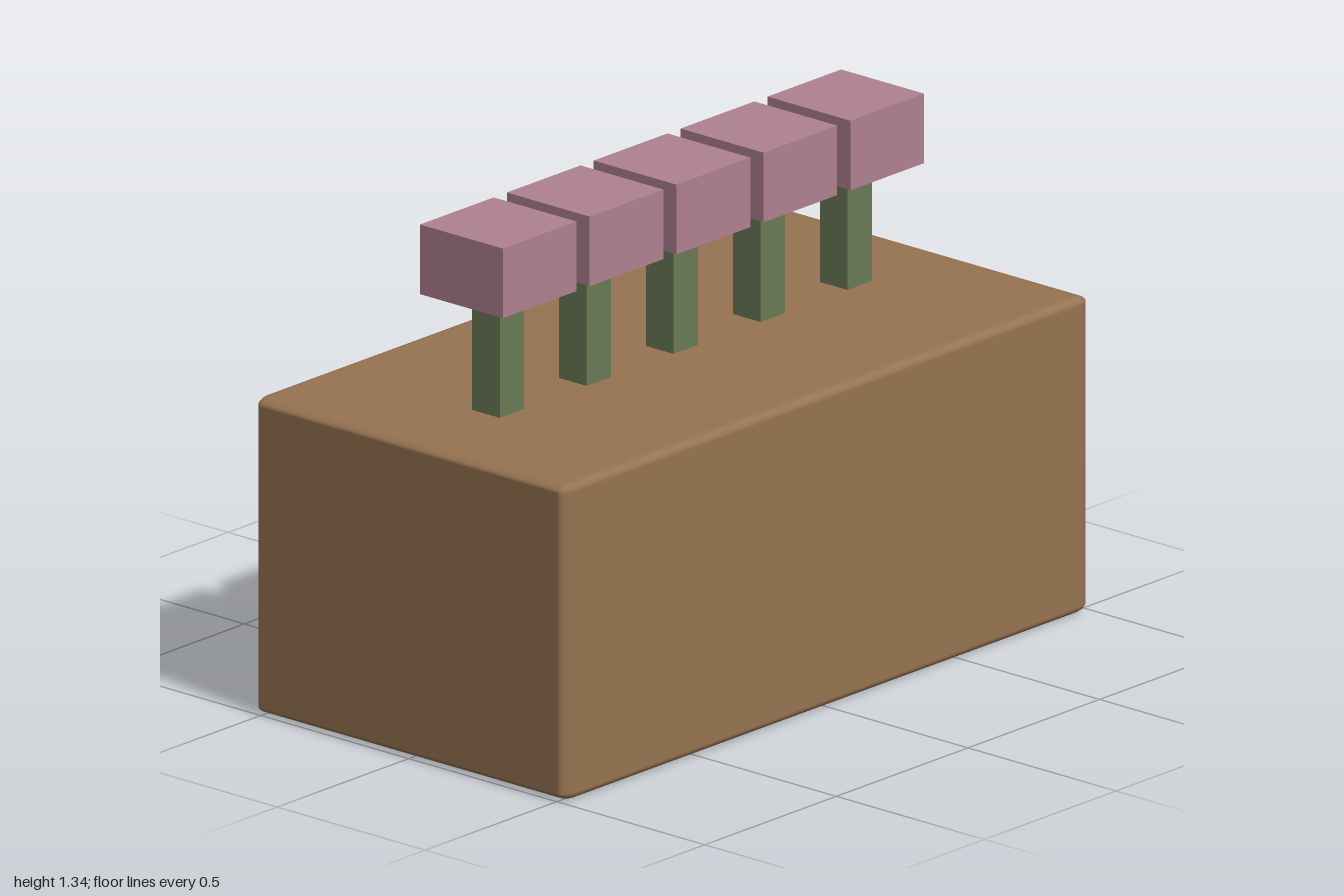
import * as THREE from 'three';
import { RoundedBoxGeometry } from 'three/addons/geometries/RoundedBoxGeometry.js';

const BASE_TOP = 0.845;
const HEAD_BOTTOM = 1.157;

export function createModel() {
  const model = new THREE.Group();
  model.name = 'planterWithFlowers';

  const brown = new THREE.MeshStandardMaterial({ color: 0x967351 });
  const green = new THREE.MeshStandardMaterial({ color: 0x697a56 });
  const pink = new THREE.MeshStandardMaterial({ color: 0xaf8091 });

  function addPart(parent, name, geometry, material, y) {
    const mesh = new THREE.Mesh(geometry, material);
    mesh.name = name;
    mesh.position.y = y;
    parent.add(mesh);
    return mesh;
  }

  // Planter: a unit rounded block stretched to size, so its edges stretch too
  const planter = addPart(model, 'planter', new RoundedBoxGeometry(1, 1, 1, 4, 0.025), brown, BASE_TOP / 2);
  planter.scale.set(2, BASE_TOP, 1.055);

  // Row of five flowers, each a square stem with a block head
  const stemHeight = HEAD_BOTTOM - BASE_TOP;
  const stemGeometry = new THREE.BoxGeometry(0.093, stemHeight, 0.093);
  const headGeometry = new THREE.BoxGeometry(0.28, 0.186, 0.28);
  for (let i = -2; i <= 2; i++) {
    const flower = new THREE.Group();
    flower.name = `flower${i + 3}`;
    flower.position.x = i * 0.33;
    addPart(flower, 'stem', stemGeometry, green, BASE_TOP + stemHeight / 2);
    addPart(flower, 'flowerHead', headGeometry, pink, HEAD_BOTTOM + 0.093);
    model.add(flower);
  }

  return model;
}
